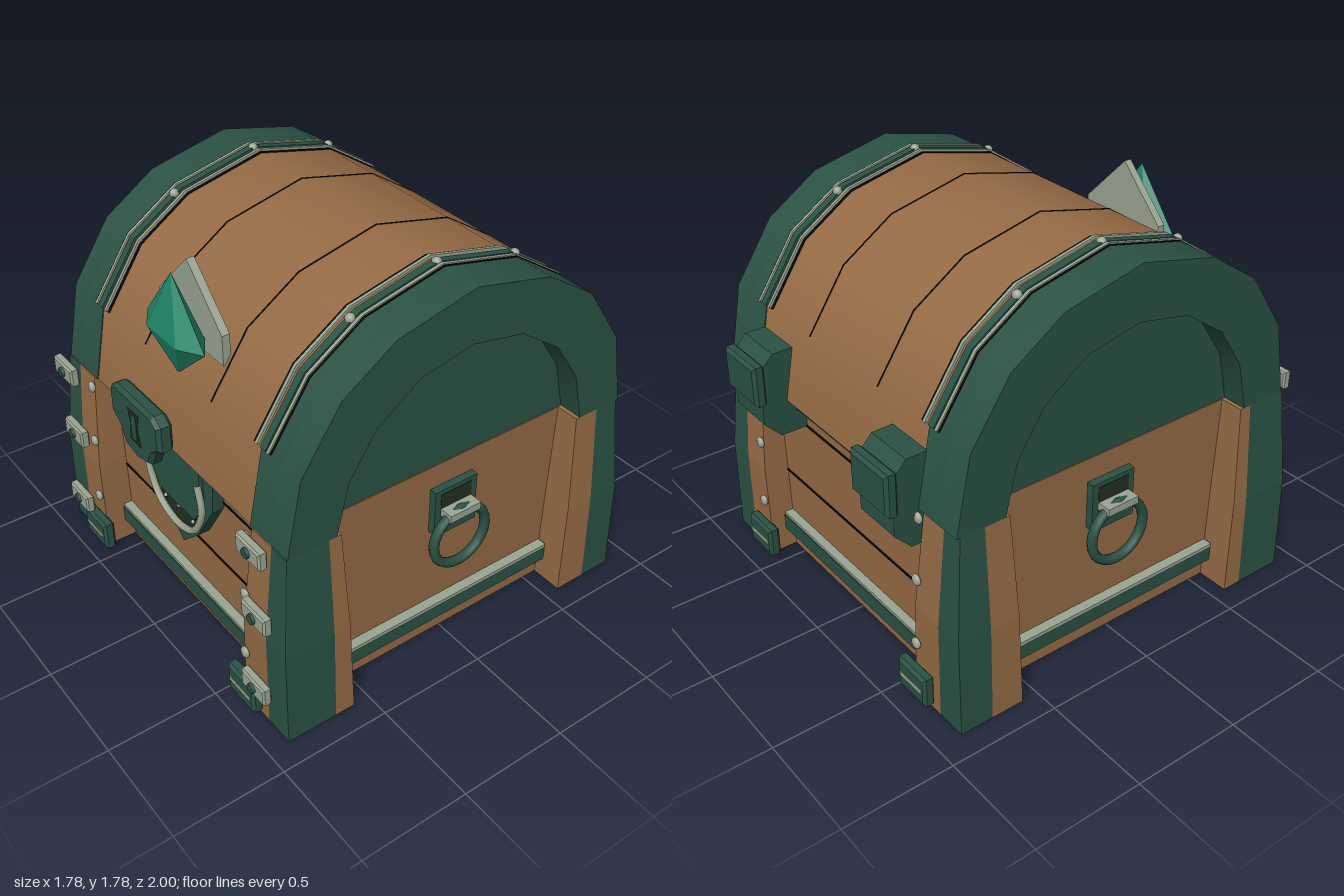
import * as THREE from 'three';
import { toCreasedNormals } from 'three/addons/utils/BufferGeometryUtils.js';

export function createModel() {
  const root = new THREE.Group();
  root.name = 'treasureChest';
  const mat = (name, color) => Object.assign(new THREE.MeshStandardMaterial({ color }), { name });
  const wood = mat('wood', 0x966b45), green = mat('greenMetal', 0x2b5245), grey = mat('paleMetal', 0x9ba592);
  const black = mat('blackGap', 0x080a08), olive = mat('darkRecess', 0x24301f), gemMat = mat('gem', 0x20886b);

  const add = (name, geo, m, x = 0, y = 0, z = 0) => {
    const mesh = new THREE.Mesh(geo, m);
    mesh.name = name;
    mesh.position.set(x, y, z);
    root.add(mesh);
    return mesh;
  };
  const box = (name, m, w, h, d, x, y, z) => add(name, new THREE.BoxGeometry(w, h, d), m, x, y, z);
  const shapeOf = pts => new THREE.Shape(pts.map(p => new THREE.Vector2(...p)));
  const extrude = (pts, depth, bevel = 0) => new THREE.ExtrudeGeometry(shapeOf(pts), {
    depth, bevelEnabled: bevel > 0, bevelSize: bevel, bevelThickness: bevel, bevelSegments: 1 });
  // Extrude a (z, y) outline along x, from x0 to x1
  const extrudeX = (pts, x0, x1) =>
    extrude(pts.map(([z, y]) => [-z, y]), x1 - x0).rotateY(Math.PI / 2).translate(x0, 0, 0);
  const mirrored = half => [...half, ...half.slice(0, -1).reverse().map(([a, b]) => [-a, b])];
  const scaled = (pts, k) => pts.map(([z, y]) => [z * k, 0.91 + (y - 0.91) * k]);
  // Low dome, flattened along z
  const rivet = r => new THREE.SphereGeometry(r, 10, 8).scale(1, 1, 0.55);

  // Tapered block; every station is [y, x0, x1, z0, z1]
  const taper = (stations, sx, sz) => {
    const g = new THREE.BoxGeometry(1, 1, 1, 1, 2, 1).toNonIndexed();
    const p = g.attributes.position;
    for (let i = 0; i < p.count; i++) {
      const [y, ...r] = stations[Math.round((p.getY(i) + 0.5) * 2)];
      const x = p.getX(i) * sx > 0 ? r[1] : r[0];
      const z = p.getZ(i) * sz > 0 ? r[3] : r[2];
      p.setXYZ(i, x * sx, y, z * sz);
    }
    g.computeVertexNormals();
    return g;
  };

  // Main body
  const bodyX = 0.74, bodyZ = 0.765;
  box('body', wood, bodyX * 2, 0.91, bodyZ * 2, 0, 0.455, 0);

  // Corner posts: two wooden cheeks and a green corner
  for (const sx of [1, -1]) for (const sz of [1, -1]) {
    const Z = sz > 0 ? [0.9, 0.9, 0.86] : [0.88, 0.88, 0.84];
    const X = [0.89, 0.882, 0.848], ys = [0, 0.45, 0.91];
    const gx = 0.75, gz = sz > 0 ? 0.667 : 0.727;
    const inX = [0.58, 0.595, 0.62], inZ = [0.575, 0.59, 0.61];
    add('postFrontWood', taper(ys.map((y, i) => [y, inX[i], gx, 0.7, Z[i]]), sx, sz), wood);
    add('postSideWood', taper(ys.map((y, i) => [y, 0.7, X[i], inZ[i], gz]), sx, sz), wood);
    add('postCorner', taper(ys.map((y, i) => [y, gx, X[i], gz, Z[i]]), sx, sz), green);
  }

  // Arched lid with thick hollow end rims
  const arch = mirrored([[0.855, 0.91], [0.79, 1.25], [0.61, 1.52], [0.37, 1.68], [0, 1.765]]);
  const inner = mirrored([[0.63, 0.91], [0.575, 1.14], [0.45, 1.33], [0.25, 1.47], [0, 1.52]]);
  const crease = geo => toCreasedNormals(geo, 0.7);
  add('lidWood', crease(extrudeX(scaled(arch, 0.995), -0.6, 0.6)), wood);
  const rim = [...arch, ...inner.slice().reverse()];
  for (const s of [1, -1]) {
    const span = (a, b) => (s > 0 ? [a, b] : [-b, -a]);
    add('lidEnd', crease(extrudeX(arch, ...span(0.6, 0.735))), green);
    add('lidRim', crease(extrudeX(rim, ...span(0.735, 0.848))), green);
  }

  // Strips that follow the lid curve
  const top = arch.slice(1, -1);
  const strip = (name, m, x, w, k) =>
    add(name, extrudeX([...scaled(top, k), ...scaled(top, 0.98).reverse()], x - w / 2, x + w / 2), m);
  for (const s of [1, -1]) {
    strip('lidPlankGap', black, s * 0.25, 0.006, 0.998);
    strip('bandGapInner', black, s * 0.555, 0.01, 1.001);
    strip('bandTrimInner', grey, s * 0.572, 0.014, 1.01);
    strip('lidBand', green, s * 0.615, 0.034, 1.008);
    strip('bandTrimOuter', grey, s * 0.648, 0.014, 1.01);
    strip('bandGapOuter', black, s * 0.66, 0.008, 1.004);
    for (const [y, z] of [[1.762, 0], [1.665, 0.4], [1.665, -0.4]])
      add('bandRivet', new THREE.SphereGeometry(0.022, 10, 8), grey, s * 0.615, y, z);
  }

  // Front and back rails, plank gaps, rivets and foot latches
  for (const s of [1, -1]) {
    const zp = s > 0 ? 0.9 : 0.88;
    box('bottomRail', green, 1.18, 0.075, 0.07, 0, 0.14, s * 0.775);
    box('bottomRailTrim', grey, 1.18, 0.014, 0.06, 0, 0.184, s * 0.775);
    box('topRail', green, 1.22, 0.05, 0.07, 0, 0.875, s * 0.775);
    box('topRailGap', black, 1.2, 0.008, 0.006, 0, 0.862, s * 0.809);
    for (const y of [0.41, 0.75]) box('plankGap', black, 1.18, 0.009, 0.008, 0, y, s * (bodyZ + 0.001));
    for (const sx of [1, -1]) {
      for (const [y, dz] of [[0.875, -0.018], [0.59, 0], [0.28, 0.012]])
        add('postRivet', rivet(0.026), grey, sx * 0.61, y, s * (zp + dz));
      const latch = extrude([[-0.08, -0.055], [0.08, -0.055], [0.08, 0.055], [-0.08, 0.055]], 0.03, 0.013);
      add('footLatch', latch, green, sx * 0.615, 0.097, s > 0 ? zp + 0.005 : -zp - 0.035);
      box('footLatchBar', grey, 0.15, 0.022, 0.01, sx * 0.615, 0.097, s * (zp + 0.046));
    }
  }

  // Bolted clips on the front corners
  for (const sx of [1, -1]) for (const [y, z] of [[0.92, 0.935], [0.58, 0.925], [0.21, 0.94]]) {
    const plate = extrude([[-0.072, -0.032], [0.072, -0.032], [0.072, 0.032], [-0.072, 0.032]], 0.026, 0.008);
    add('clipPlate', plate, grey, sx * 0.73, y, z - 0.013);
    add('clipBolt', new THREE.CylinderGeometry(0.022, 0.024, 0.02, 8).rotateX(Math.PI / 2), green,
      sx * 0.73, y, z + 0.024);
  }

  // Lock shield with flap and swing ring
  const shield = mirrored([[0.28, 0.91], [0.26, 0.72], [0.13, 0.51], [0, 0.39]]);
  add('lockShield', extrude(shield, 0.06), green, 0, 0, 0.76);
  add('lockRecess', extrude(mirrored([[0.2, 0.9], [0.2, 0.68], [0.13, 0.55], [0, 0.5]]), 0.006), olive, 0, 0, 0.82);
  add('lockFlap', extrude(mirrored([[0.2, 0.91], [0.2, 0.7], [0.14, 0.61], [0, 0.605]]), 0.018), green, 0, 0, 0.82);
  const ring = new THREE.CatmullRomCurve3(
    mirrored([[0.19, 0.83], [0.213, 0.7], [0.14, 0.555], [0, 0.505]]).map(([x, y]) => new THREE.Vector3(x, y, 0)));
  add('lockRing', new THREE.TubeGeometry(ring, 28, 0.016, 8), grey, 0, 0, 0.842);
  for (const x of [-0.11, 0, 0.11])
    add('lockStud', new THREE.SphereGeometry(0.01, 8, 6), grey, x, x ? 0.575 : 0.59, 0.828);

  // Hasp plate with keyhole
  const hasp = mirrored([[0, 1.185], [0.14, 1.185], [0.175, 1.16], [0.175, 1.06], [0.12, 1.02], [0.085, 0.95], [0, 0.93]]);
  add('hasp', extrude(hasp.slice(0, -1), 0.04, 0.016), green, 0, 0, 0.94);
  const key = [[-0.042, 1.145], [0.042, 1.145], [0.026, 1.075], [0.042, 0.995], [-0.042, 0.995], [-0.026, 1.075]];
  add('keyholeFrame', extrude(key, 0.005), olive, 0, 0, 0.993);
  box('keyhole', green, 0.04, 0.12, 0.006, 0, 1.07, 0.997);

  // Faceted gem with its backing plate
  const equator = [[0.215, 0], [0.11, 0.065], [-0.11, 0.065], [-0.215, 0], [-0.11, -0.065], [0.11, -0.065]];
  const verts = [];
  equator.forEach(([x, z], i) => {
    const [x2, z2] = equator[(i + 1) % 6];
    verts.push(x, 0, z, 0, 0.265, 0, x2, 0, z2, x, 0, z, x2, 0, z2, 0, -0.19, 0);
  });
  const gem = new THREE.BufferGeometry();
  gem.setAttribute('position', new THREE.Float32BufferAttribute(verts, 3));
  gem.computeVertexNormals();
  add('gem', gem, gemMat, 0, 1.435, 0.78);
  add('gemPlate', extrude(mirrored([[0.23, 1.37], [0.23, 1.505], [0, 1.735]]), 0.035), grey, 0, 0, 0.675);

  // Back hinges
  const hinge = [[-0.74, 1.15], [-0.9, 1.15], [-0.965, 1.08], [-0.965, 0.83], [-0.89, 0.75], [-0.76, 0.75]];
  for (const s of [1, -1]) {
    add('hinge', extrudeX(hinge, s * 0.49 - 0.115, s * 0.49 + 0.115), green);
    const plate = extrude([[-0.11, -0.08], [0.11, -0.08], [0.11, 0.08], [-0.11, 0.08]], 0.03, 0.014);
    add('hingePlate', plate, green, s * 0.49, 1.02, -0.985);
  }

  // Side rails and ring handles
  for (const s of [1, -1]) {
    box('sideRail', green, 0.06, 0.09, 1.16, s * 0.75, 0.145, 0);
    box('sideRailTrim', grey, 0.07, 0.018, 1.15, s * 0.75, 0.182, 0);
    box('handlePlate', green, 0.04, 0.22, 0.22, s * 0.755, 0.69, -0.025);
    box('handleRecess', olive, 0.006, 0.12, 0.16, s * 0.774, 0.72, -0.025);
    box('handleClasp', grey, 0.07, 0.035, 0.16, s * 0.805, 0.69, -0.025);
    box('handleBase', green, 0.04, 0.04, 0.19, s * 0.775, 0.61, -0.025);
    add('handleRing', new THREE.TorusGeometry(0.138, 0.022, 8, 24).rotateY(Math.PI / 2), green, s * 0.81, 0.555, -0.025);
  }
  return root;
}
